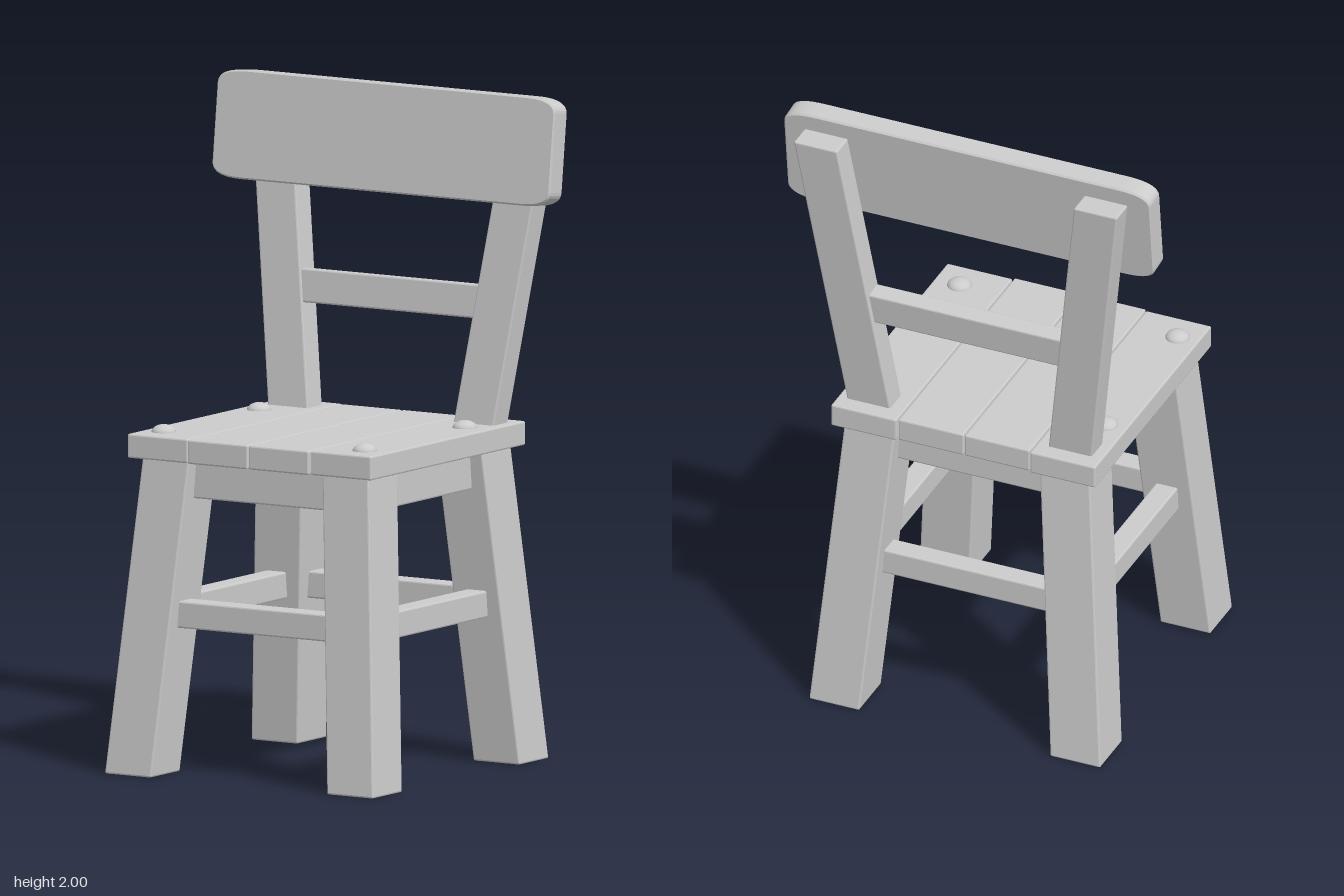
import * as THREE from 'three';
import { RoundedBoxGeometry } from 'three/addons/geometries/RoundedBoxGeometry.js';

const wood = new THREE.MeshStandardMaterial({ color: 0xcccccc, flatShading: true });
const metal = new THREE.MeshStandardMaterial({ color: 0xcccccc });

export function createModel() {
  const model = new THREE.Group();

  const add = (name, geometry, material = wood) => {
    const mesh = new THREE.Mesh(geometry, material);
    mesh.name = name;
    model.add(mesh);
    return mesh;
  };

  // Softly edged block given by its min and max on each axis
  const block = (name, [x0, x1], [y0, y1], [z0, z1]) =>
    add(name, new RoundedBoxGeometry(x1 - x0, y1 - y0, z1 - z0, 1, 0.005)
      .translate((x0 + x1) / 2, (y0 + y1) / 2, (z0 + z1) / 2));

  // Slanted post with level ends: its section slides from bottom to top centre
  const post = (name, width, depth, bottom, top) => {
    const height = top.y - bottom.y;
    const geometry = new RoundedBoxGeometry(width, height, depth, 1, 0.005);
    const p = geometry.attributes.position;
    for (let i = 0; i < p.count; i++) {
      const t = p.getY(i) / height + 0.5;
      p.setXYZ(i,
        p.getX(i) + THREE.MathUtils.lerp(bottom.x, top.x, t),
        p.getY(i) + (top.y + bottom.y) / 2,
        p.getZ(i) + THREE.MathUtils.lerp(bottom.z, top.z, t));
    }
    geometry.computeVertexNormals();
    add(name, geometry);
  };
  const v = (x, y, z) => new THREE.Vector3(x, y, z);

  // Splayed legs
  for (const sx of [-1, 1]) for (const sz of [-1, 1]) {
    post(sz > 0 ? 'frontLeg' : 'backLeg', 0.162, 0.162,
      v(sx * 0.39, 0, sz * 0.403), v(sx * 0.315, 0.945, sz * 0.311));
  }

  // Aprons under the seat and stretchers between the legs
  for (const s of [-1, 1]) {
    const band = (c, half) => [s * c - half, s * c + half];
    block('crossApron', [-0.255, 0.255], [0.825, 0.94], band(0.315, 0.035));
    block('sideApron', band(0.32, 0.035), [0.825, 0.94], [-0.25, 0.25]);
    block('crossStretcher', [-0.285, 0.285], [0.44, 0.52], band(0.357, 0.035));
    block('sideStretcher', band(0.352, 0.035), [0.44, 0.52], [-0.285, 0.285]);
  }

  // Seat planks, the outer pair set slightly back
  for (let i = 0; i < 4; i++) {
    const x = -0.43 + i * 0.2145;
    const shift = i === 0 || i === 3 ? -0.003 : 0.004;
    block('seatPlank', [x, x + 0.211], [0.94, 1.012], [-0.426 + shift, 0.426 + shift]);
  }

  // Domed pegs in the seat corners
  for (const [x, z] of [[-0.363, -0.198], [0.343, -0.222], [-0.363, 0.327], [0.343, 0.327]]) {
    const peg = add('seatPeg',
      new THREE.SphereGeometry(0.037, 24, 8, 0, Math.PI * 2, 0, Math.PI / 2), metal);
    peg.scale.y = 0.65;
    peg.position.set(x, 1.01, z);
  }

  // Back posts leaning outwards and backwards, joined by a rail
  for (const s of [-1, 1]) {
    post('backPost', 0.14, 0.082, v(s * 0.325, 1.005, -0.335), v(s * 0.453, 1.94, -0.439));
  }
  const rail = block('backRail', [-0.315, 0.315], [-0.05, 0.05], [-0.03, 0.03]);
  rail.position.set(0, 1.367, -0.372);
  rail.rotation.x = -0.11;

  // Tilted backrest board with long, shallow rounded corners
  const w = 0.588, h = 0.157, rx = 0.1, ry = 0.04;
  const outline = new THREE.Shape();
  outline.moveTo(-w + rx, -h);
  outline.lineTo(w - rx, -h);
  outline.quadraticCurveTo(w, -h, w, -h + ry);
  outline.lineTo(w, h - ry);
  outline.quadraticCurveTo(w, h, w - rx, h);
  outline.lineTo(-w + rx, h);
  outline.quadraticCurveTo(-w, h, -w, h - ry);
  outline.lineTo(-w, -h + ry);
  outline.quadraticCurveTo(-w, -h, -w + rx, -h);
  const board = add('backrestBoard', new THREE.ExtrudeGeometry(outline, {
    depth: 0.061, bevelThickness: 0.005, bevelSize: 0.005, bevelSegments: 1, curveSegments: 10,
  }).translate(0, 0, -0.0305));
  board.position.set(-0.002, 1.835, -0.349);
  board.rotation.x = -0.12;

  return model;
}
